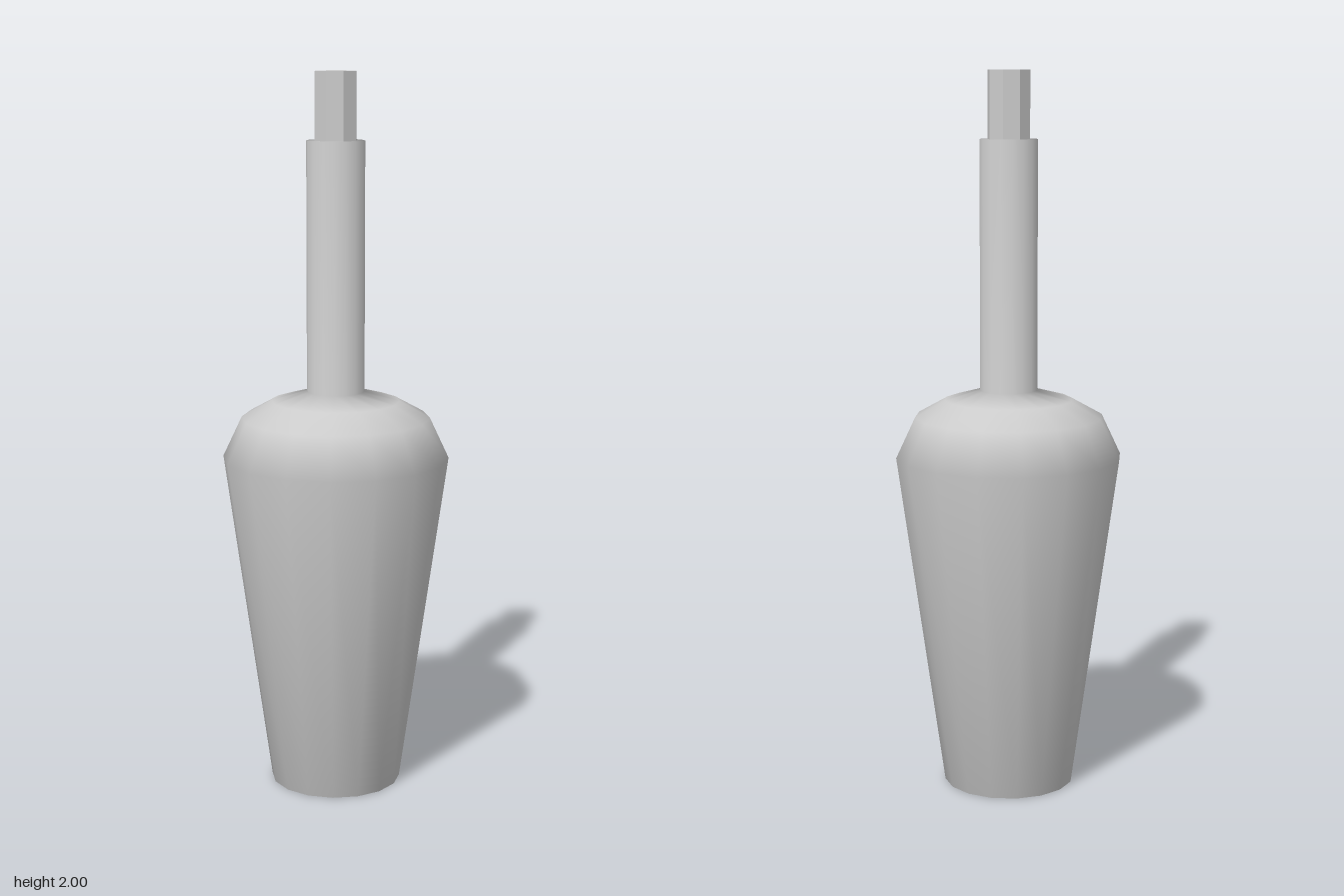
import * as THREE from 'three';

export function createModel() {
  const group = new THREE.Group();

  // Tapered handle, rounded shoulder and slim shaft turned in one smooth profile
  const profile = [
    [0, 0], [0.183, 0], [0.315, 0.94], [0.262, 1.053],
    [0.178, 1.1], [0.08, 1.127], [0.08, 1.815], [0, 1.815],
  ].map(([r, y]) => new THREE.Vector2(r, y));
  const body = new THREE.Mesh(
    new THREE.LatheGeometry(profile, 16),
    new THREE.MeshStandardMaterial({ color: 0xcccccc })
  );
  body.name = 'handleAndShaft';
  group.add(body);

  // Faceted octagonal tip, seated slightly inside the shaft
  const tip = new THREE.Mesh(
    new THREE.CylinderGeometry(0.06, 0.06, 0.2, 8),
    new THREE.MeshStandardMaterial({ color: 0xcccccc, flatShading: true })
  );
  tip.name = 'octagonalTip';
  tip.position.y = 1.9;
  group.add(tip);

  return group;
}
